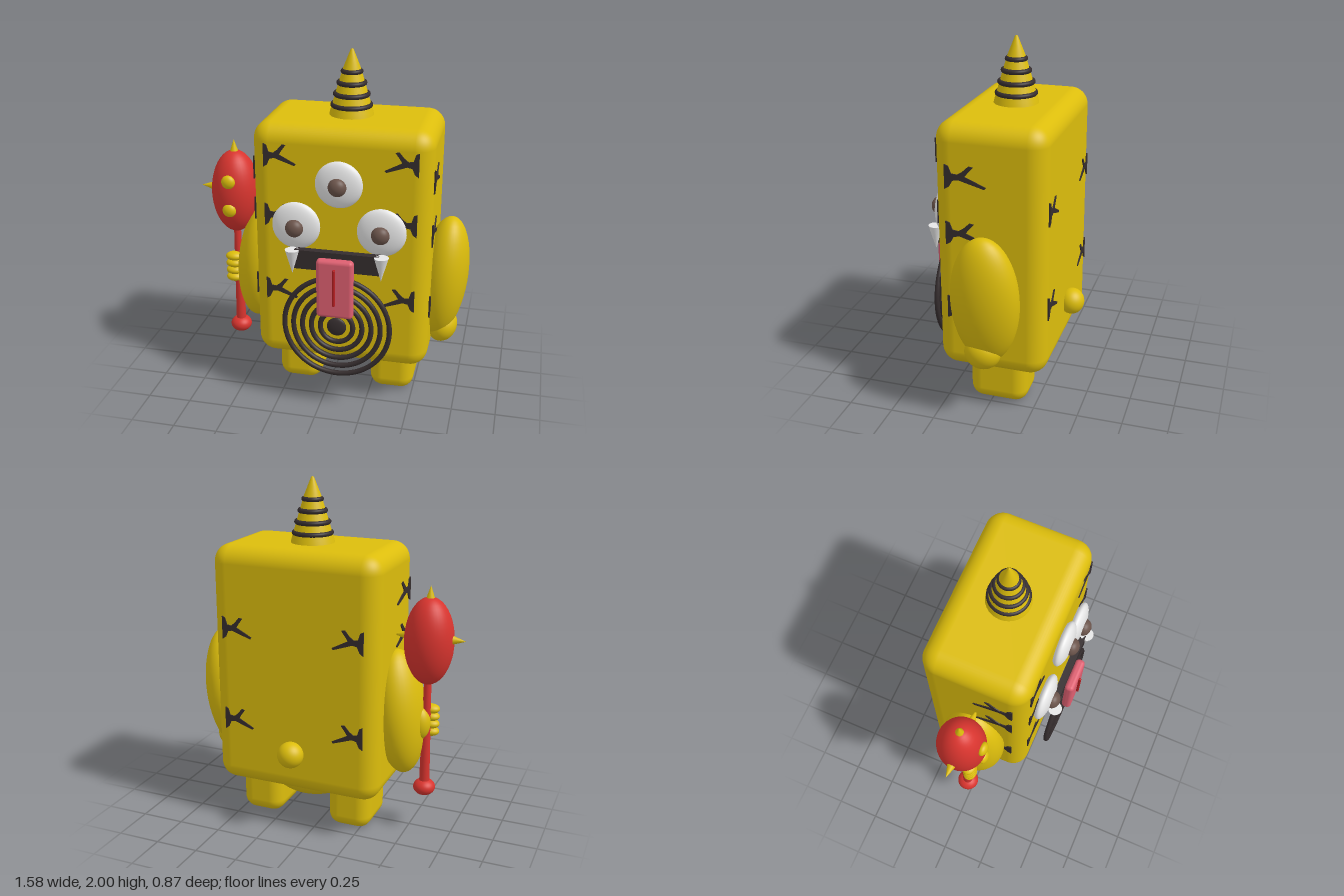
import * as THREE from 'three';
import { RoundedBoxGeometry } from 'three/addons/geometries/RoundedBoxGeometry.js';

const CX = 0.095, CZ = -0.027; // body axis

export function createModel() {
  const model = new THREE.Group();
  model.name = 'hornedMonster';
  const mat = (name, color) => {
    const m = new THREE.MeshStandardMaterial({ color });
    m.name = name;
    return m;
  };
  const yellow = mat('yellow skin', 0xdcbd0c);
  const dark = mat('dark markings', 0x352d2e);
  const white = mat('white', 0xe6e6e6);
  const brown = mat('brown pupil', 0x6b544b);
  const red = mat('red club', 0xd8342e);
  const pink = mat('pink tongue', 0xdd5f70);
  const crimson = mat('tongue groove', 0xb81f22);

  const add = (name, geo, material, x, y, z, parent = model) => {
    const mesh = new THREE.Mesh(geo, material);
    mesh.name = name;
    mesh.position.set(x, y, z);
    parent.add(mesh);
    return mesh;
  };
  const blob = (name, material, x, y, z, rx, ry, rz) => {
    const mesh = add(name, new THREE.SphereGeometry(1, 36, 24), material, x, y, z);
    mesh.scale.set(rx, ry, rz);
    return mesh;
  };
  const rbox = (w, h, d, r) => new RoundedBoxGeometry(w, h, d, 6, r);

  // Body, belly, legs and tail
  add('body', rbox(0.99, 1.4, 0.605, 0.1), yellow, CX, 0.94, CZ);
  blob('belly', yellow, CX, 0.3, -0.04, 0.27, 0.17, 0.22);
  for (const s of [-1, 1]) {
    add('leg', rbox(0.257, 0.34, 0.33, 0.075), yellow, CX + s * 0.277, 0.17, -0.035);
  }
  blob('tail', yellow, CX, 0.488, -0.36, 0.075, 0.075, 0.072);

  // Horn with stacked rings
  const horn = [[0.128, 1.62], [0.118, 1.66], [0.05, 1.89], [0.008, 1.995], [0, 2]]
    .map(([r, y]) => new THREE.Vector2(r, y));
  add('horn', new THREE.LatheGeometry(horn, 32), yellow, CX, 0, CZ);
  for (const [r, y] of [[0.117, 1.693], [0.103, 1.753], [0.084, 1.815], [0.062, 1.877]]) {
    const ring = add('hornRing', new THREE.TorusGeometry(r - 0.014, 0.014, 12, 40), dark, CX, y, CZ);
    ring.rotation.x = Math.PI / 2;
  }

  // Three eyes
  for (const [x, y, r] of [[CX, 1.34, 0.13], [-0.142, 1.087, 0.135], [0.33, 1.087, 0.135]]) {
    blob('eye', white, x, y, 0.3, r, r, 0.046);
    blob('pupil', brown, x, y, 0.342, 0.05, 0.05, 0.042);
  }

  // Mouth, fangs and tongue
  add('mouth', new THREE.BoxGeometry(0.47, 0.11, 0.04), dark, CX, 0.915, 0.345);
  for (const x of [-0.15, 0.342]) {
    const fang = add('fang', new THREE.ConeGeometry(0.04, 0.14, 24), white, x, 0.9, 0.365);
    fang.rotation.x = Math.PI;
  }
  add('tongue', rbox(0.205, 0.345, 0.055, 0.022), pink, CX, 0.773, 0.392);
  add('tongueGroove', rbox(0.014, 0.22, 0.025, 0.006), crimson, CX, 0.79, 0.422);

  // Concentric belly rings
  for (let i = 0; i < 5; i++) {
    add('bellyRing', new THREE.TorusGeometry(0.093 + i * 0.0515, 0.0145, 10, 64), dark, CX, 0.515, 0.351);
  }
  blob('bellyButton', dark, CX, 0.515, 0.35, 0.055, 0.055, 0.018);

  // Branching skin marks: base on the local left, twigs to the right
  const mark = new THREE.Shape([
    [0, 0.066], [0.018, 0.058], [0.03, 0.02], [0.055, 0.016], [0.078, 0.034], [0.105, 0.066],
    [0.125, 0.062], [0.1, 0.028], [0.088, 0.008], [0.18, -0.04], [0.172, -0.05],
    [0.09, -0.022], [0.062, -0.012], [0.035, -0.018], [0.02, -0.052], [0, -0.066],
  ].map(([x, y]) => new THREE.Vector2(x, y)));
  const mirrored = new THREE.Shape(mark.getPoints().map((p) => new THREE.Vector2(-p.x, p.y)).reverse());
  const plate = { depth: 0.008, bevelEnabled: false };
  const markGeo = new THREE.ExtrudeGeometry(mark, plate);
  const markGeoMirrored = new THREE.ExtrudeGeometry(mirrored, plate);
  const addMark = (flip, x, y, z, turn, size = 1) => {
    const m = add('skinMark', flip ? markGeoMirrored : markGeo, dark, x, y, z);
    m.rotation.y = turn;
    m.scale.set(size, 1, 1);
  };
  for (const y of [1.47, 1.13, 0.68]) { // front
    addMark(false, -0.325, y, 0.273, 0);
    addMark(true, 0.515, y, 0.273, 0);
  }
  for (const y of [1.18, 0.64]) { // back
    addMark(false, 0.515, y, -0.327, Math.PI);
    addMark(true, -0.325, y, -0.327, Math.PI);
  }
  for (const y of [1.36, 1.05, 0.62]) { // left side
    addMark(false, 0.588, y, 0.205, Math.PI / 2, 1.25);
  }
  for (const y of [1.37, 1.13, 0.67]) { // right side
    addMark(true, -0.398, y, 0.205, -Math.PI / 2, 1.25);
  }

  // Arms and hands
  blob('leftArm', yellow, 0.643, 0.71, -0.022, 0.138, 0.372, 0.187).rotation.z = -0.1;
  blob('leftHand', yellow, 0.652, 0.405, -0.008, 0.083, 0.1, 0.1).rotation.z = -0.35;
  blob('rightArm', yellow, -0.437, 0.71, -0.022, 0.142, 0.365, 0.187).rotation.z = -0.1;
  blob('rightHand', yellow, -0.555, 0.66, -0.03, 0.06, 0.095, 0.06);
  for (let i = 0; i < 4; i++) {
    blob('finger', yellow, -0.603, 0.735 - i * 0.045, 0.025, 0.05, 0.027, 0.04);
  }

  // Spiked club
  const clubX = -0.587, clubY = 1.15, clubZ = -0.01;
  add('clubHandle', new THREE.CylinderGeometry(0.02, 0.03, 0.68, 24), red, clubX, 0.6, clubZ);
  blob('clubKnob', red, clubX, 0.265, clubZ, 0.063, 0.048, 0.063);
  blob('clubHead', red, clubX, clubY - 0.01, clubZ, 0.138, 0.248, 0.138);
  const spike = new THREE.ConeGeometry(0.028, 0.085, 20);
  add('clubSpike', spike, yellow, clubX, 1.41, clubZ);
  for (const s of [-1, 1]) {
    const side = add('clubSpike', spike, yellow, clubX + s * 0.163, clubY + 0.01, clubZ);
    side.rotation.z = -s * Math.PI / 2;
  }
  for (const y of [1.235, 1.063]) {
    blob('clubStud', yellow, clubX, y, 0.118, 0.04, 0.04, 0.026);
  }
  return model;
}
